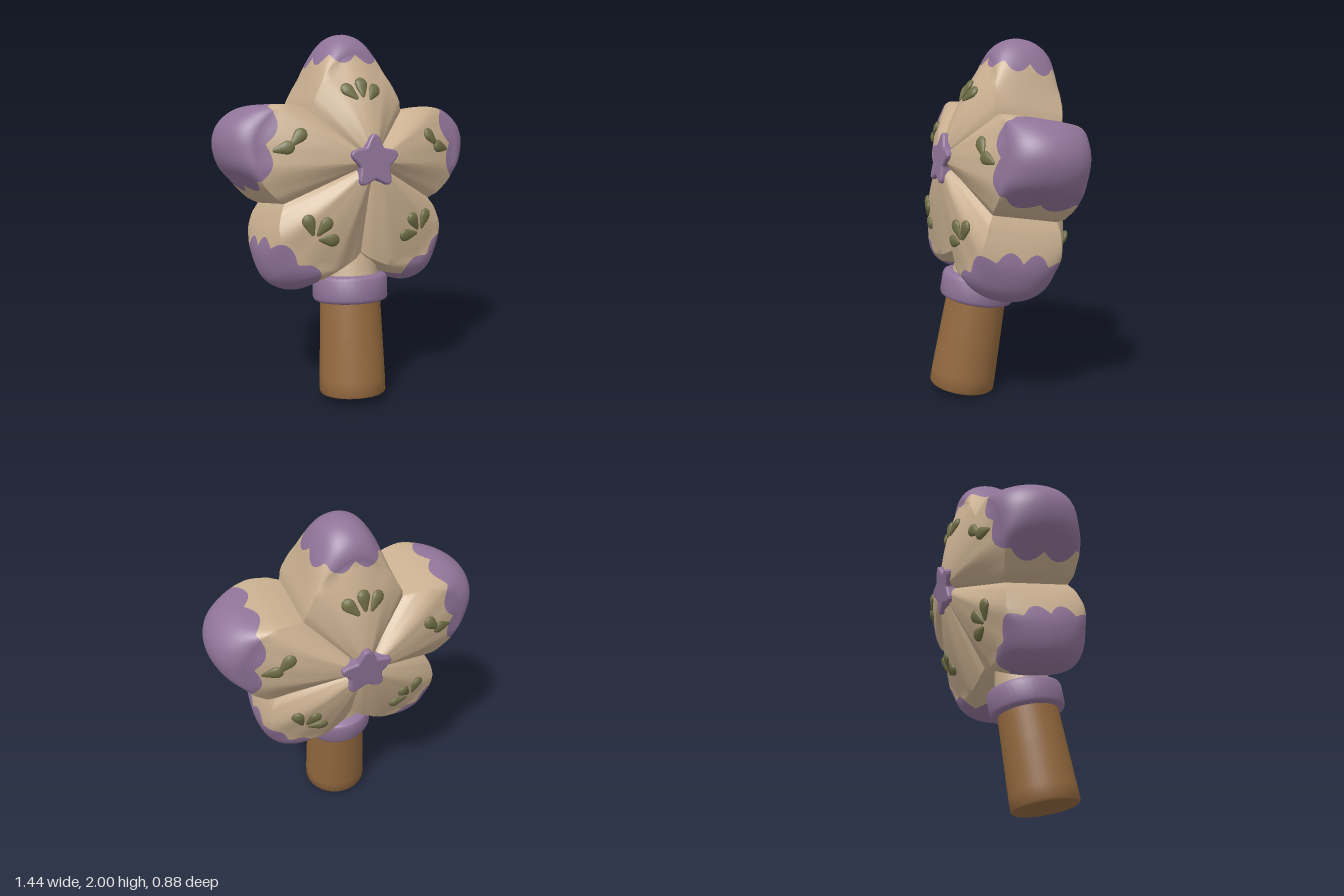
import * as THREE from 'three';
import { toCreasedNormals } from 'three/addons/utils/BufferGeometryUtils.js';

const mat = (name, color) => {
  const m = new THREE.MeshStandardMaterial({ color });
  m.name = name;
  return m;
};
const V = (x, y, z = 0) => new THREE.Vector3(x, y, z);
const smooth = THREE.MathUtils.smoothstep, lerp = THREE.MathUtils.lerp;

// Arm outlines run clockwise from valley to valley; tip is the edge thickness at
// the arm's end, capStart where the coloured cap begins along the arm's axis.
const topArm = {
  pts: [[-.28, .285], [-.215, .45], [-.155, .6], [-.085, .685], [0, .71], [.085, .685], [.155, .6], [.215, .45], [.28, .285]],
  axis: [0, 1], tip: .18, capStart: .56,
};
const sideArm = {
  pts: [[.28, .285], [.45, .315], [.61, .3], [.71, .225], [.743, .125], [.71, .005], [.61, -.09], [.455, -.21]],
  axis: [.985, .174], tip: .225, capStart: .55,
};
const lowerArm = {
  pts: [[.455, -.21], [.51, -.36], [.525, -.48], [.475, -.62], [.36, -.676], [.23, -.64], [.1, -.555], [0, -.495]],
  axis: [.606, -.796], tip: .235, capStart: .64,
};
const mirror = a => ({
  ...a, pts: a.pts.map(([x, y]) => [-x, y]).reverse(), axis: [-a.axis[0], a.axis[1]],
});
const ARMS = [topArm, sideArm, lowerArm, mirror(lowerArm), mirror(sideArm)];

// Point of the puffy star; e is 0 at a valley and 1 at the arm's middle,
// s runs 0..1 over the face and 1..2 around the edge
function surfacePoint(p, e, s, tip, side) {
  const w = smooth(e, 0, .62);
  const groove = Math.exp(-((e / .06) ** 2));
  const face = Math.min(s, 1), q = Math.max(s - 1, 0) * Math.PI / 2;
  const shoulder = lerp(.94, .8, smooth(e, .25, .85));
  const zValley = s <= 1 ? .36 - .16 * s : .2 * (2 - s);
  const fTip = shoulder * face + (1 - shoulder) * Math.sin(q);
  const zTip = s <= 1 ? .36 - (.36 - tip) * face ** 1.65 : tip * Math.cos(q);
  const f = lerp(face, fTip, w) * (1 - .025 * groove * face);
  const z = lerp(zValley, zTip, w) - .018 * groove * (s < 1.9 ? Math.min(1, 4 * s) : 0);
  return V(p.x * f, p.y * f, Math.max(z, 0) * side);
}

// Positive inside the scalloped cap
function capValue(p, arm) {
  const [ax, ay] = arm.axis;
  const u = p.x * ax + p.y * ay, v = p.x * ay - p.y * ax;
  return u - arm.capStart - .02 + .05 * Math.abs(Math.sin(4 * Math.atan2(p.z, v)));
}

// Keep the part of a triangle where the value is positive
function clip(tri, vals, out) {
  const poly = [];
  for (let i = 0; i < 3; i++) {
    const k = (i + 1) % 3;
    if (vals[i] >= 0) poly.push(tri[i]);
    if ((vals[i] >= 0) !== (vals[k] >= 0)) poly.push(tri[i].clone().lerp(tri[k], vals[i] / (vals[i] - vals[k])));
  }
  for (let i = 1; i + 1 < poly.length; i++) {
    const t = [poly[0], poly[i], poly[i + 1]];
    if (new THREE.Triangle(...t).getArea() > 1e-9) t.forEach(p => out.push(p.x, p.y, p.z));
  }
}

function buildStar() {
  const body = [], caps = [], N = 44, M = 30;
  for (const arm of ARMS) {
    const line = new THREE.CatmullRomCurve3(arm.pts.map(p => V(...p)), false, 'centripetal').getSpacedPoints(N);
    for (const side of [1, -1]) {
      const at = (i, j) => surfacePoint(line[i], 2 * Math.min(i, N - i) / N, 2 * j / M, arm.tip, side);
      for (let i = 0; i < N; i++) for (let j = 0; j < M; j++) {
        const [a, b, c, d] = [at(i, j), at(i + 1, j), at(i + 1, j + 1), at(i, j + 1)];
        for (const t of [[a, b, c], [a, c, d]]) {
          if (side < 0) t.reverse();
          const vals = t.map(p => capValue(p, arm));
          clip(t, vals, caps);
          clip(t, vals.map(x => -x), body);
        }
      }
    }
  }
  return [body, caps].map(arr => {
    const g = new THREE.BufferGeometry();
    g.setAttribute('position', new THREE.Float32BufferAttribute(arr, 3));
    return toCreasedNormals(g, .6);
  });
}

const lathe = (pts, seg = 40) => new THREE.LatheGeometry(pts.map(p => new THREE.Vector2(...p)), seg);

export function createModel() {
  const beige = mat('beige', 0xc9af90), purple = mat('purple', 0x907499);
  const wood = mat('wood brown', 0x94693f), olive = mat('olive', 0x706e46);
  const model = new THREE.Group(), wand = new THREE.Group();
  model.name = 'starWand';
  wand.name = 'wand';
  model.add(wand);
  const add = (name, geo, m, parent = wand) => {
    const mesh = new THREE.Mesh(geo, m);
    mesh.name = name;
    parent.add(mesh);
    return mesh;
  };

  // Star head with coloured arm tips
  const [bodyGeo, capGeo] = buildStar();
  const body = add('starBody', bodyGeo, beige);
  add('armTips', capGeo, purple);

  // Small rounded star on the centre of each face
  const pts = [];
  for (let i = 0; i < 10; i++) {
    const a = Math.PI / 2 + i * Math.PI / 5, r = i % 2 ? .077 : .15;
    pts.push(new THREE.Vector2(Math.cos(a) * r, Math.sin(a) * r));
  }
  const shape = new THREE.Shape();
  pts.forEach((p, i) => {
    const prev = pts[(i + 9) % 10], next = pts[(i + 1) % 10], k = i % 2 ? .15 : .4;
    const a = p.clone().lerp(prev, k), b = p.clone().lerp(next, k);
    if (i) shape.lineTo(a.x, a.y); else shape.moveTo(a.x, a.y);
    shape.quadraticCurveTo(p.x, p.y, b.x, b.y);
  });
  const emblem = new THREE.ExtrudeGeometry(shape, {
    depth: .06, bevelThickness: .012, bevelSize: .012, bevelSegments: 3, curveSegments: 5,
  });
  for (const side of [1, -1]) {
    const e = add(side > 0 ? 'frontEmblem' : 'backEmblem', emblem, purple);
    e.position.set(0, 0, .302 * side);
    if (side < 0) e.rotation.y = Math.PI;
  }

  // Teardrop seeds: position and direction, for the top and one side
  const fan = (x, y, base, spread, r) => [-spread, 0, spread].map(o => {
    const a = (base + o) * Math.PI / 180;
    return [x + Math.cos(a) * r, y + Math.sin(a) * r, a];
  });
  const half = [[.402, .13, 2.35], [.475, .078, 2.95], ...fan(.322, -.39, 128, 57, .08)];
  const seeds = [...fan(-.015, .288, 90, 40, .105), ...half, ...half.map(([x, y, a]) => [-x, y, Math.PI - a])];
  const seedGeo = lathe([[0, -.06], [.009, -.055], [.02, -.027], [.032, .005], [.035, .024], [.028, .043], [.014, .054], [0, .057]], 16);
  seedGeo.scale(1, 1, .5);
  const seedGroup = new THREE.Group();
  seedGroup.name = 'seeds';
  const ray = new THREE.Raycaster();
  for (const side of [1, -1]) for (const [x, y, a] of seeds) {
    ray.set(V(x, y, side), V(0, 0, -side));
    const hit = ray.intersectObject(body)[0];
    if (!hit) continue;
    const n = hit.face.normal.clone();
    const d = V(Math.cos(a), Math.sin(a)).projectOnPlane(n).normalize();
    const seed = add('seed', seedGeo, olive, seedGroup);
    seed.quaternion.setFromRotationMatrix(new THREE.Matrix4().makeBasis(d.clone().cross(n), d, n));
    seed.position.copy(hit.point).addScaledVector(n, .004);
  }
  wand.add(seedGroup);

  // Neck, collar and handle
  const shaft = new THREE.Group();
  shaft.name = 'shaft';
  shaft.position.set(.012, 0, .025);
  wand.add(shaft);
  add('neck', new THREE.CylinderGeometry(.13, .16, .3, 32), beige, shaft).position.y = -.5;
  const collar = lathe([[0, -.075], [.185, -.075], [.203, -.066], [.21, -.05], [.21, .05], [.203, .066], [.185, .075], [0, .075]]);
  add('collar', toCreasedNormals(collar.toNonIndexed(), .7), purple, shaft).position.y = -.69;
  const handle = lathe([[0, -1.285], [.178, -1.285], [.186, -1.275], [.185, -1.2], [.176, -.95], [.165, -.65], [0, -.65]]);
  add('handle', toCreasedNormals(handle.toNonIndexed(), .8), wood, shaft);

  // The wand leans back and turns a little to its left
  wand.position.set(.01, 1.3, 0);
  wand.rotation.set(-.166, .328, 0);
  return model;
}
